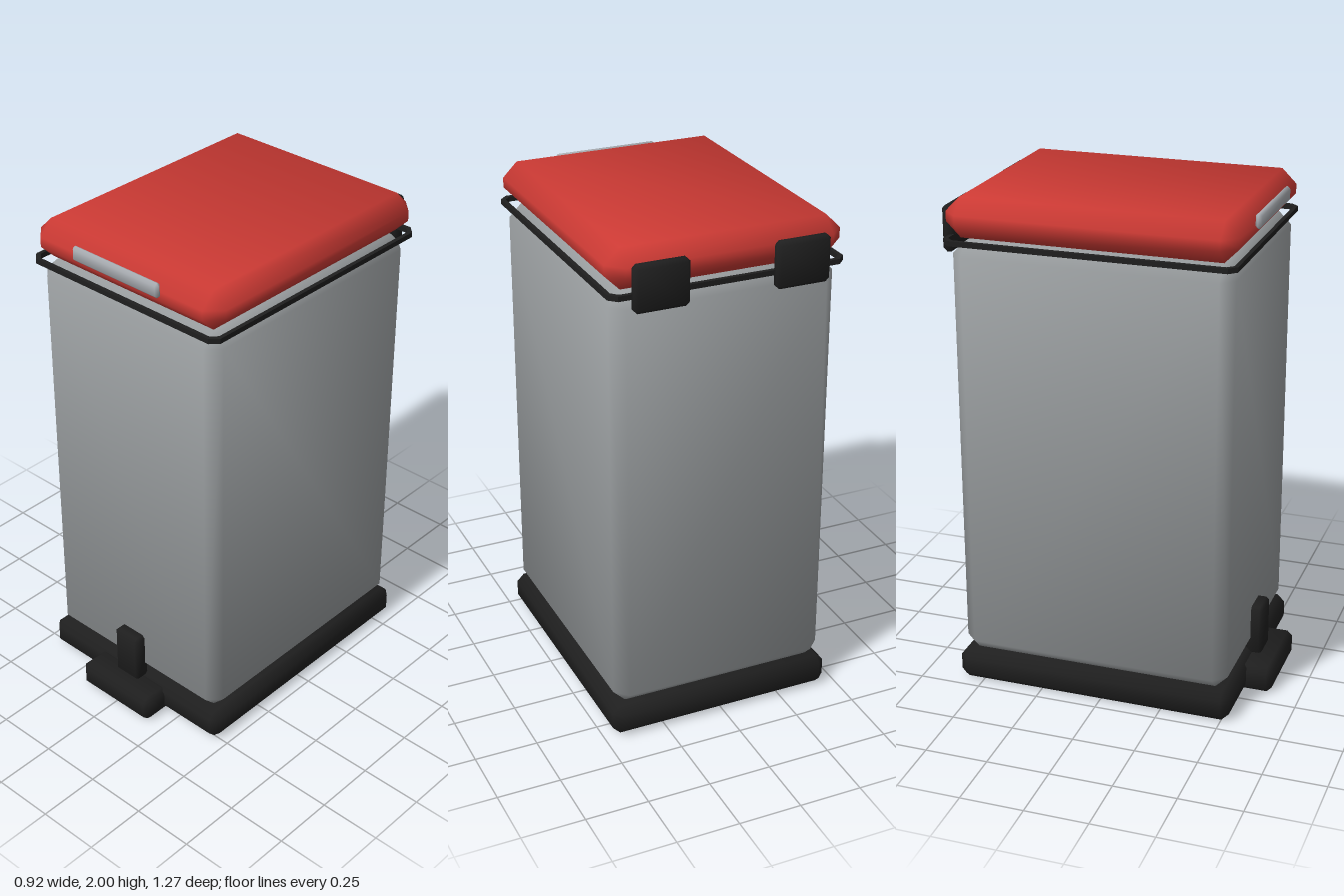
import * as THREE from 'three';
import { ConvexGeometry } from 'three/addons/geometries/ConvexGeometry.js';

const SIGNS = [-1, 1];

// Box with single-step chamfered edges and softly blended normals.
function chamferedBox(min, max, c) {
  const half = max.map((v, i) => (v - min[i]) / 2);
  const points = [];
  for (const sx of SIGNS) for (const sy of SIGNS) for (const sz of SIGNS) {
    const sign = [sx, sy, sz];
    for (let axis = 0; axis < 3; axis++) {
      points.push(new THREE.Vector3(...sign.map((s, i) => s * (half[i] - (i === axis ? 0 : c)))));
    }
  }
  const geometry = new ConvexGeometry(points);
  const { position, normal } = geometry.attributes;
  const n = new THREE.Vector3();
  for (let i = 0; i < position.count; i++) {
    const p = [position.getX(i), position.getY(i), position.getZ(i)];
    // The axis at full extent owns the vertex; the other two tilt its normal.
    n.set(...p.map((v, a) => Math.sign(v) * (Math.abs(v) > half[a] - c / 2 ? 0.88 : 0.34))).normalize();
    normal.setXYZ(i, n.x, n.y, n.z);
  }
  return geometry.translate(...max.map((v, i) => (v + min[i]) / 2));
}

// Rectangle outline with cut corners.
function cutRectangle(Type, x, z0, z1, c) {
  const outline = new Type();
  outline.setFromPoints([
    [-x + c, z0], [x - c, z0], [x, z0 + c], [x, z1 - c],
    [x - c, z1], [-x + c, z1], [-x, z1 - c], [-x, z0 + c],
  ].map(([a, b]) => new THREE.Vector2(a, b)));
  outline.closePath();
  return outline;
}

export function createModel() {
  const model = new THREE.Group();
  model.name = 'pedalBin';

  const material = (name, color) => {
    const m = new THREE.MeshStandardMaterial({ color });
    m.name = name;
    return m;
  };
  const grey = material('body grey', 0x9a9ea0);
  const red = material('lid red', 0xcc3a34);
  const black = material('black plastic', 0x1f1f1f);
  const silver = material('handle silver', 0xa9adb2);

  const add = (name, geometry, mat) => {
    const mesh = new THREE.Mesh(geometry, mat);
    mesh.name = name;
    model.add(mesh);
  };

  // Base, body and lid
  add('base', chamferedBox([-0.46, 0, -0.6], [0.46, 0.125, 0.53], 0.03), black);
  add('body', chamferedBox([-0.443, 0.122, -0.585], [0.443, 1.83, 0.512], 0.05), grey);
  add('lid', chamferedBox([-0.46, 1.845, -0.605], [0.46, 2, 0.526], 0.058), red);

  // Thin open rim under the lid
  const rim = cutRectangle(THREE.Shape, 0.462, -0.528, 0.605, 0.03);
  rim.holes.push(cutRectangle(THREE.Path, 0.446, -0.512, 0.589, 0.024));
  const rimGeometry = new THREE.ExtrudeGeometry(rim, { depth: 0.02, bevelEnabled: false });
  rimGeometry.rotateX(-Math.PI / 2).translate(0, 1.825, 0);
  add('rim', rimGeometry, black);

  // Front handle
  add('lidHandle', chamferedBox([-0.213, 1.923, 0.526], [0.213, 1.982, 0.551], 0.01), silver);

  // Foot pedal and its upright
  add('pedal', chamferedBox([-0.184, 0, 0.45], [0.184, 0.106, 0.632], 0.02), black);
  add('pedalUpright', chamferedBox([-0.062, 0.1, 0.49], [0.062, 0.31, 0.558], 0.012), black);

  // Pair of rear hinges
  for (const s of SIGNS) {
    const x = s * 0.275;
    add(s > 0 ? 'leftHinge' : 'rightHinge',
      chamferedBox([x - 0.107, 1.775, -0.634], [x + 0.107, 1.955, -0.59], 0.014), black);
  }

  return model;
}
